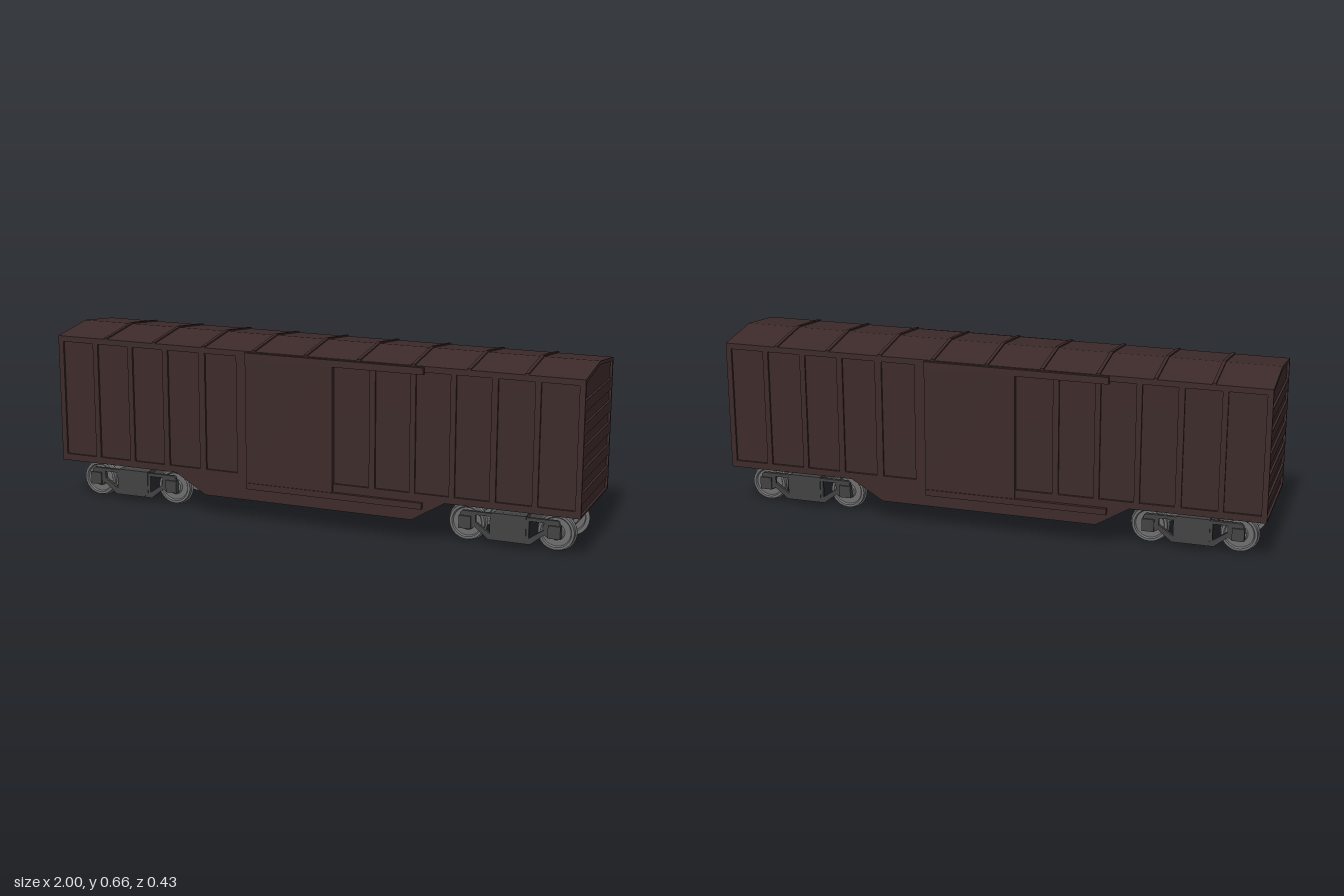
import * as THREE from 'three';
import { toCreasedNormals } from 'three/addons/utils/BufferGeometryUtils.js';

const brown = new THREE.MeshStandardMaterial({ color: 0x3d2a2a });
const steel = new THREE.MeshStandardMaterial({ color: 0x6e6e6e });
const iron = new THREE.MeshStandardMaterial({ color: 0x424242 });

const V = (pts) => pts.map(([x, y]) => new THREE.Vector2(x, y));
const rect = (x0, x1, y0, y1) => [[x0, y0], [x1, y0], [x1, y1], [x0, y1]];

function add(parent, name, geometry, material) {
  const mesh = new THREE.Mesh(geometry, material);
  mesh.name = name;
  parent.add(mesh);
  return mesh;
}

// Outline in x,y extruded from z0 to z1
function extrudeZ(pts, z0, z1, holes = []) {
  const shape = new THREE.Shape(V(pts));
  holes.forEach((h) => shape.holes.push(new THREE.Path(V(h))));
  return new THREE.ExtrudeGeometry(shape, { depth: z1 - z0, bevelEnabled: false }).translate(0, 0, z0);
}

// Symmetric outline in z,y extruded from x0 to x1
const extrudeX = (pts, x0, x1, holes) => extrudeZ(pts, x0, x1, holes).rotateY(Math.PI / 2);

const box = (x0, x1, y0, y1, z0, z1) =>
  new THREE.BoxGeometry(x1 - x0, y1 - y0, z1 - z0).translate((x0 + x1) / 2, (y0 + y1) / 2, (z0 + z1) / 2);

// Gabled band following the roof slope
const gable = (bottom, top, w = 0.2) =>
  [[-w, bottom], [0, bottom + 0.025], [w, bottom], [w, top], [0, top + 0.025], [-w, top]];

// One long side: framed wall, sliding door and door rails
function createSide() {
  const side = new THREE.Group();
  side.name = 'side';
  const panels = [
    [-0.98, -0.855], [-0.835, -0.71], [-0.69, -0.567], [-0.545, -0.42], [-0.395, -0.27],
    [0.105, 0.24], [0.262, 0.39], [0.41, 0.535], [0.555, 0.68], [0.702, 0.83], [0.85, 0.98],
  ].map(([a, b]) => rect(a, b, 0.18, 0.612));
  const outline = [[-0.99, 0.155], [-0.52, 0.155], [-0.4, 0.082], [0.4, 0.082], [0.52, 0.155],
    [0.99, 0.155], [0.99, 0.628], [-0.99, 0.628]];
  add(side, 'panelledWall', extrudeZ(outline, 0.19, 0.2, panels), brown);
  add(side, 'slidingDoor', box(-0.23, 0.105, 0.13, 0.625, 0.195, 0.21), brown);
  add(side, 'upperDoorRail', box(-0.23, 0.44, 0.605, 0.63, 0.195, 0.213), brown);
  add(side, 'lowerDoorRail', box(-0.23, 0.44, 0.127, 0.15, 0.195, 0.213), brown);
  return side;
}

// End wall with recessed horizontal panels
function createEnd() {
  const holes = [0.162, 0.241, 0.321, 0.4, 0.48].map((y) => rect(-0.19, 0.19, y, y + 0.041));
  holes.push([[-0.19, 0.56], [0.19, 0.56], [0.19, 0.621], [0, 0.645], [-0.19, 0.621]]);
  const outline = [[-0.2, 0.155], [0.2, 0.155], [0.2, 0.628], [0, 0.653], [-0.2, 0.628]];
  const end = new THREE.Group();
  end.name = 'end';
  add(end, 'ribbedEndWall', extrudeX(outline, 0.99, 1, holes), brown);
  return end;
}

// Dished wheel with an inner flange, on the +z end of an axle
function wheelGeometry() {
  const profile = V([[0.014, 0.094], [0.03, 0.094], [0.034, 0.099], [0.052, 0.099], [0.056, 0.09],
    [0.07, 0.09], [0.07, 0.093], [0.065, 0.096], [0.064, 0.11], [0.055, 0.11], [0.051, 0.104],
    [0.03, 0.104], [0.025, 0.11], [0.001, 0.11]]);
  return toCreasedNormals(new THREE.LatheGeometry(profile, 40).rotateX(Math.PI / 2), 0.6);
}

function createTruck() {
  const truck = new THREE.Group();
  truck.name = 'truck';
  // Wheelsets
  for (const x of [-0.16, 0.16]) {
    const set = new THREE.Group();
    set.name = 'wheelset';
    set.position.set(x, 0.07, 0);
    add(set, 'axle', new THREE.CylinderGeometry(0.016, 0.016, 0.25, 24).rotateX(Math.PI / 2), steel);
    for (const turn of [0, Math.PI]) add(set, 'wheel', wheelGeometry(), steel).rotation.y = turn;
    truck.add(set);
  }
  // Side frames: arch bar, diagonals, spring nest and journal boxes
  const outline = [[-0.178, 0.052], [-0.14, 0.052], [-0.124, 0.062], [-0.075, 0.022], [0.075, 0.022],
    [0.124, 0.062], [0.14, 0.052], [0.178, 0.052], [0.178, 0.11], [0.17, 0.118], [-0.17, 0.118], [-0.178, 0.11]];
  const windows = [-1, 1].map((s) => [[0.122, 0.106], [0.07, 0.106], [0.07, 0.044], [0.122, 0.08]].map(([x, y]) => [s * x, y]));
  for (const turn of [0, Math.PI]) {
    const frame = new THREE.Group();
    frame.name = 'sideFrame';
    frame.rotation.y = turn;
    add(frame, 'frameCasting', extrudeZ(outline, 0.122, 0.134, windows), iron);
    add(frame, 'springNest', extrudeZ([[-0.06, 0.04], [-0.045, 0.024], [0.045, 0.024], [0.06, 0.04],
      [0.06, 0.122], [-0.06, 0.122]], 0.116, 0.137), iron);
    for (const x of [-0.16, 0.16]) {
      add(frame, 'journalBox', box(x - 0.022, x + 0.022, 0.054, 0.1, 0.12, 0.14), iron);
    }
    truck.add(frame);
  }
  // Cross beam with its centre bearing
  const beam = [[-0.125, 0.1], [-0.02, 0.116], [0.02, 0.116], [0.125, 0.1], [0.125, 0.118], [0.02, 0.137],
    [-0.02, 0.137], [-0.125, 0.118]];
  add(truck, 'bolster', extrudeX(beam, -0.058, 0.058), iron);
  add(truck, 'centreBearing', new THREE.CylinderGeometry(0.019, 0.019, 0.025, 24).translate(0, 0.146, 0), iron);
  return truck;
}

export function createModel() {
  const model = new THREE.Group();
  model.name = 'boxcar';

  // Inner body seen at the bottom of the recessed panels
  add(model, 'bodyCore', extrudeX([[-0.192, 0.155], [0.192, 0.155], [0.192, 0.628], [0, 0.652], [-0.192, 0.628]],
    -0.992, 0.992), brown);
  add(model, 'underframe', extrudeZ([[-0.52, 0.155], [-0.4, 0.082], [0.4, 0.082], [0.52, 0.155]], -0.192, 0.192), brown);

  // Sides and ends repeat under a half turn
  for (const turn of [0, Math.PI]) {
    for (const part of [createSide(), createEnd()]) {
      part.rotation.y = turn;
      model.add(part);
    }
  }

  // Roof sheet and cross ribs
  add(model, 'roof', extrudeX(gable(0.627, 0.633), -1, 1), brown);
  for (let i = -4; i <= 4; i++) {
    add(model, 'roofRib', extrudeX(gable(0.63, 0.638), i * 0.2 - 0.006, i * 0.2 + 0.006), brown);
  }

  // Trucks under both ends
  for (const x of [-0.735, 0.735]) {
    const truck = createTruck();
    truck.position.x = x;
    model.add(truck);
  }
  return model;
}
